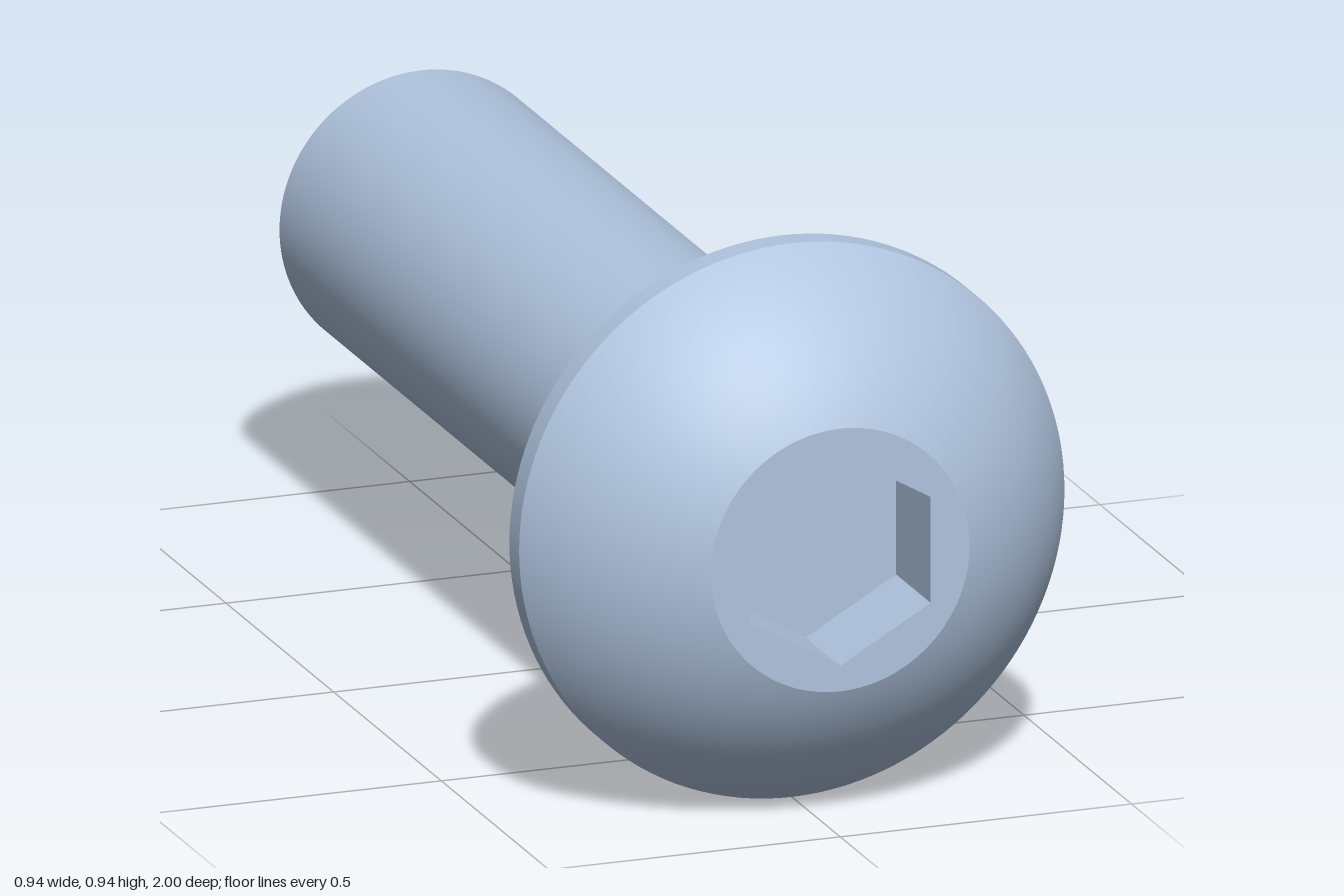
import * as THREE from 'three';

const SEGMENTS = 128;
const HEAD_R = 0.468, FLAT_R = 0.222, RIM_Z = 0.775, BACK_Z = 0.73;
const SHANK_R = 0.243, TIP_R = 0.19, FILLET = 0.025;
const HEX_R = 0.179, HEX_DEPTH = 0.16;

// Points along a circular arc as [radius, z] pairs
function arc(cr, cz, r, from, to, steps) {
  return Array.from({ length: steps + 1 }, (_, i) => {
    const a = from + (to - from) * i / steps;
    return [cr + r * Math.cos(a), cz + r * Math.sin(a)];
  });
}

// Surface of revolution about the z axis
function revolve(profile, segments = SEGMENTS) {
  const points = profile.map(([r, z]) => new THREE.Vector2(r, z));
  return new THREE.LatheGeometry(points, segments).rotateX(Math.PI / 2);
}

export function createModel() {
  const steel = new THREE.MeshStandardMaterial({ color: 0xb0c4de });
  steel.name = 'steel blue';
  const screw = new THREE.Group();
  screw.name = 'buttonHeadScrew';
  const add = (name, geometry) => {
    const mesh = new THREE.Mesh(geometry, steel);
    mesh.name = name;
    screw.add(mesh);
    return mesh;
  };

  // Shank, each section separate so its edges stay crisp
  add('shankTip', revolve([[0, -1], [TIP_R, -1]]));
  add('tipChamfer', revolve([[TIP_R, -1], [SHANK_R, -0.947]]));
  add('shank', revolve([[SHANK_R, -0.947], [SHANK_R, BACK_Z - FILLET]]));
  add('neckFillet', revolve(
    arc(SHANK_R + FILLET, BACK_Z - FILLET, FILLET, Math.PI, Math.PI / 2, 8)));

  // Head: flat underside, short rim and spherical dome
  add('headUnderside', revolve([[SHANK_R + FILLET, BACK_Z], [HEAD_R, BACK_Z]]));
  add('headRim', revolve([[HEAD_R, BACK_Z], [HEAD_R, RIM_Z]]));
  const centreZ = (FLAT_R ** 2 + 1 - HEAD_R ** 2 - RIM_Z ** 2) / (2 * (1 - RIM_Z));
  add('headDome', revolve(arc(0, centreZ, Math.hypot(HEAD_R, RIM_Z - centreZ),
    Math.atan2(RIM_Z - centreZ, HEAD_R), Math.atan2(1 - centreZ, FLAT_R), 24)));

  // Front flat with a hexagonal opening
  const face = new THREE.Shape().absarc(0, 0, FLAT_R, 0, Math.PI * 2);
  const corners = Array.from({ length: 6 }, (_, i) => {
    const a = Math.PI / 2 - i * Math.PI / 3;
    return new THREE.Vector2(HEX_R * Math.cos(a), HEX_R * Math.sin(a));
  });
  face.holes.push(new THREE.Path(corners));
  add('headFlat', new THREE.ShapeGeometry(face, SEGMENTS / 2)).position.z = 1;

  // Hex socket: inward-facing walls and a flat floor
  const walls = revolve([[HEX_R, 1], [HEX_R, 1 - HEX_DEPTH]], 6).toNonIndexed();
  walls.computeVertexNormals();
  add('socketWalls', walls);
  add('socketFloor', new THREE.CircleGeometry(HEX_R, 6, Math.PI / 2)).position.z = 1 - HEX_DEPTH;

  // Rest the head on the ground
  for (const part of screw.children) part.position.y = HEAD_R;
  return screw;
}
